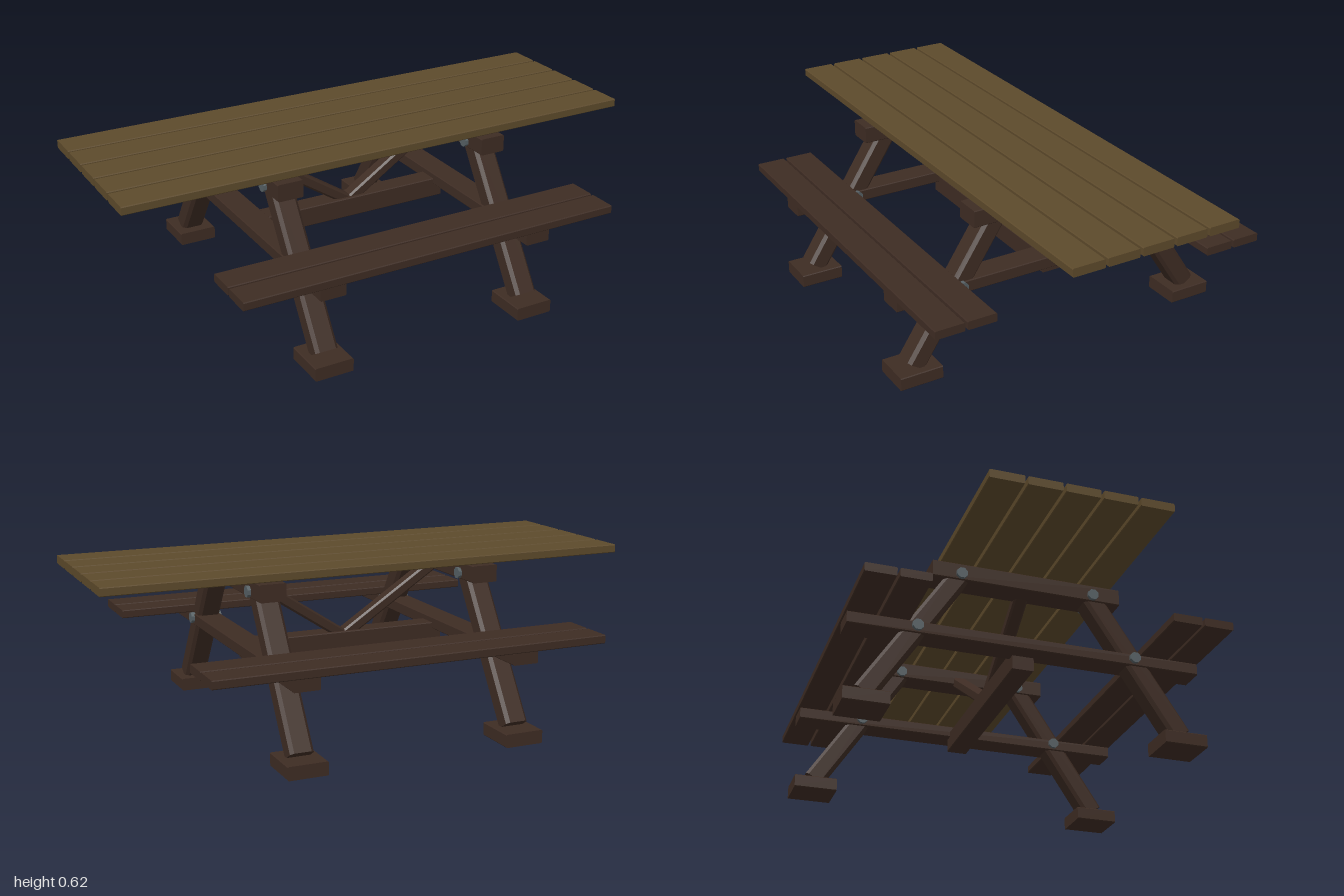
import * as THREE from 'three';

const tableWood = new THREE.MeshStandardMaterial({ color: 0x5d4a2b });
tableWood.name = 'tableWood';
const frameWood = new THREE.MeshStandardMaterial({ color: 0x3e2c23 });
frameWood.name = 'frameWood';
const boltMetal = new THREE.MeshStandardMaterial({ color: 0x566064 });
boltMetal.name = 'boltMetal';

// Timber of width w and height h running between two points, with chamfered long edges
function timber(name, material, w, h, from, to, c = 0.003) {
  const a = new THREE.Vector3(...from), b = new THREE.Vector3(...to);
  const x = w / 2, y = h / 2, len = a.distanceTo(b);
  const section = new THREE.Shape([
    [-x + c, -y], [x - c, -y], [x, -y + c], [x, y - c],
    [x - c, y], [-x + c, y], [-x, y - c], [-x, -y + c],
  ].map(p => new THREE.Vector2(...p)));
  const geo = new THREE.ExtrudeGeometry(section, { depth: len, bevelEnabled: false });
  const mesh = new THREE.Mesh(geo, material);
  mesh.name = name;
  mesh.position.copy(a);
  mesh.lookAt(b);
  return mesh;
}

// Eight-sided bolt through the frame, along x
function bolt(x, y, z) {
  const geo = new THREE.CylinderGeometry(0.021, 0.021, 0.122, 8).toNonIndexed();
  geo.computeVertexNormals();
  geo.rotateX(0);
  geo.rotateY(Math.PI / 8);
  geo.rotateZ(Math.PI / 2);
  const mesh = new THREE.Mesh(geo, boltMetal);
  mesh.name = 'bolt';
  mesh.position.set(x, y, z);
  return mesh;
}

export function createModel() {
  const table = new THREE.Group();
  table.name = 'picnicTable';

  // Table top
  for (let i = -2; i <= 2; i++) {
    const z = i * 0.1313;
    table.add(timber('tablePlank', tableWood, 0.121, 0.031, [-1, 0.6095, z], [1, 0.6095, z]));
  }

  // Benches, two planks on each side
  for (const s of [-1, 1]) {
    for (const z of [0.483, 0.601]) {
      table.add(timber('benchPlank', frameWood, 0.109, 0.031,
        [-0.737, 0.354, s * z], [0.737, 0.354, s * z]));
    }
  }

  // Two end frames
  for (const sx of [-1, 1]) {
    const x = sx * 0.4125;
    const frame = new THREE.Group();
    frame.name = sx > 0 ? 'leftFrame' : 'rightFrame';
    frame.add(timber('topCrossbeam', frameWood, 0.097, 0.063, [x, 0.5625, -0.353], [x, 0.5625, 0.353]));
    frame.add(timber('benchCrossbeam', frameWood, 0.097, 0.044, [x, 0.317, -0.65], [x, 0.317, 0.65]));
    for (const sz of [-1, 1]) {
      frame.add(timber('leg', frameWood, 0.086, 0.076, [x, 0.054, sz * 0.578], [x, 0.568, sz * 0.241], 0.012));
      frame.add(timber('foot', frameWood, 0.146, 0.049, [x, 0.0245, sz * 0.495], [x, 0.0245, sz * 0.657]));
      frame.add(bolt(x, 0.553, sz * 0.248));
      frame.add(bolt(x, 0.322, sz * 0.403));
    }
    // Diagonal brace from the top crossbeam down to the centre beam
    frame.add(timber('brace', frameWood, 0.052, 0.041, [sx * 0.39, 0.555, 0], [0, 0.3, 0], 0.007));
    table.add(frame);
  }

  // Centre beam joining the frames
  table.add(timber('centreBeam', frameWood, 0.08, 0.075, [-0.4, 0.281, 0], [0.4, 0.281, 0]));
  return table;
}
